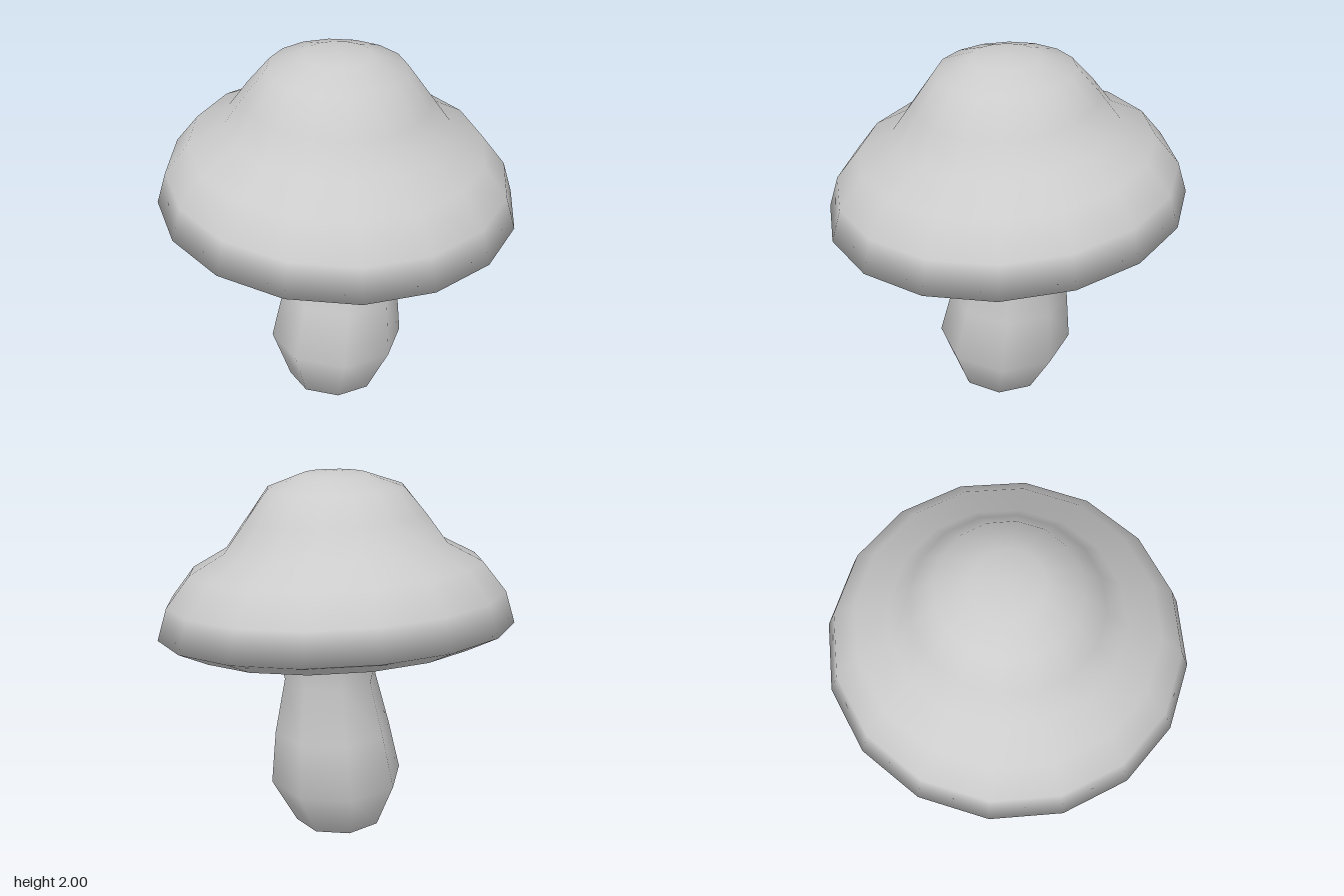
import * as THREE from 'three';
import { mergeGeometries, mergeVertices } from 'three/addons/utils/BufferGeometryUtils.js';

// Smooth turned part from one or more profiles; a rule then moves its vertices
function turned(name, profiles, sides, move) {
  const lathes = profiles.map((profile) =>
    new THREE.LatheGeometry(profile.map(([r, y]) => new THREE.Vector2(r, y)), sides));
  let geo = mergeGeometries(lathes);
  const pos = geo.attributes.position;
  const v = new THREE.Vector3();
  for (let i = 0; i < pos.count; i++) {
    move(v.fromBufferAttribute(pos, i));
    pos.setXYZ(i, v.x, v.y, v.z);
  }
  geo.deleteAttribute('normal');
  geo.deleteAttribute('uv');
  geo = mergeVertices(geo, 1e-4);
  geo.computeVertexNormals();
  const material = new THREE.MeshStandardMaterial({ color: 0xcccccc, side: THREE.DoubleSide });
  const mesh = new THREE.Mesh(geo, material);
  mesh.name = name;
  return mesh;
}

// The cap dips to the front and to the right: most at the lip, not at the crown
function tiltCap(v) {
  const f = THREE.MathUtils.clamp((2 - v.y) / 0.18, 0, 1);
  const lip = v.y < 1.12 ? 0.01 : 0;
  v.y += f * ((0.026 + lip) * v.x - (0.072 + lip) * v.z);
}

// The stem leans from right at the foot to left at the neck
function leanStem(v) {
  const y = v.y;
  const slant = THREE.MathUtils.clamp((0.9 - y) / 0.6, 0, 1);
  v.x += Math.min(0.05, -0.05 + 0.13 * y);
  v.y -= 0.05 * slant * v.x * Math.min(1, y / 0.045);
  if (y > 1.25) tiltCap(v);
}

export function createModel() {
  const model = new THREE.Group();
  model.name = 'mushroom';

  // Cap skin from the open lip over the rim, shoulder and waist to the crown,
  // and the shallow underside that meets it at the rim
  const rim = [0.95, 1.178];
  model.add(turned('cap', [
    [[0.785, 1.093], rim, [0.9, 1.347], [0.775, 1.508], [0.59, 1.61],
      [0.48, 1.763], [0.36, 1.92], [0.18, 1.985], [0, 2]],
    [[0.1, 1.31], [0.4, 1.3], rim],
  ], 16, tiltCap));

  // Stem: pointed foot, bulge, narrow neck and flare into the underside
  model.add(turned('stem', [[
    [0, 0], [0.245, 0.045], [0.364, 0.305], [0.318, 0.6], [0.25, 0.9],
    [0.29, 1.08], [0.31, 1.2], [0.4, 1.31], [0.55, 1.34],
  ]], 8, leanStem));

  return model;
}
